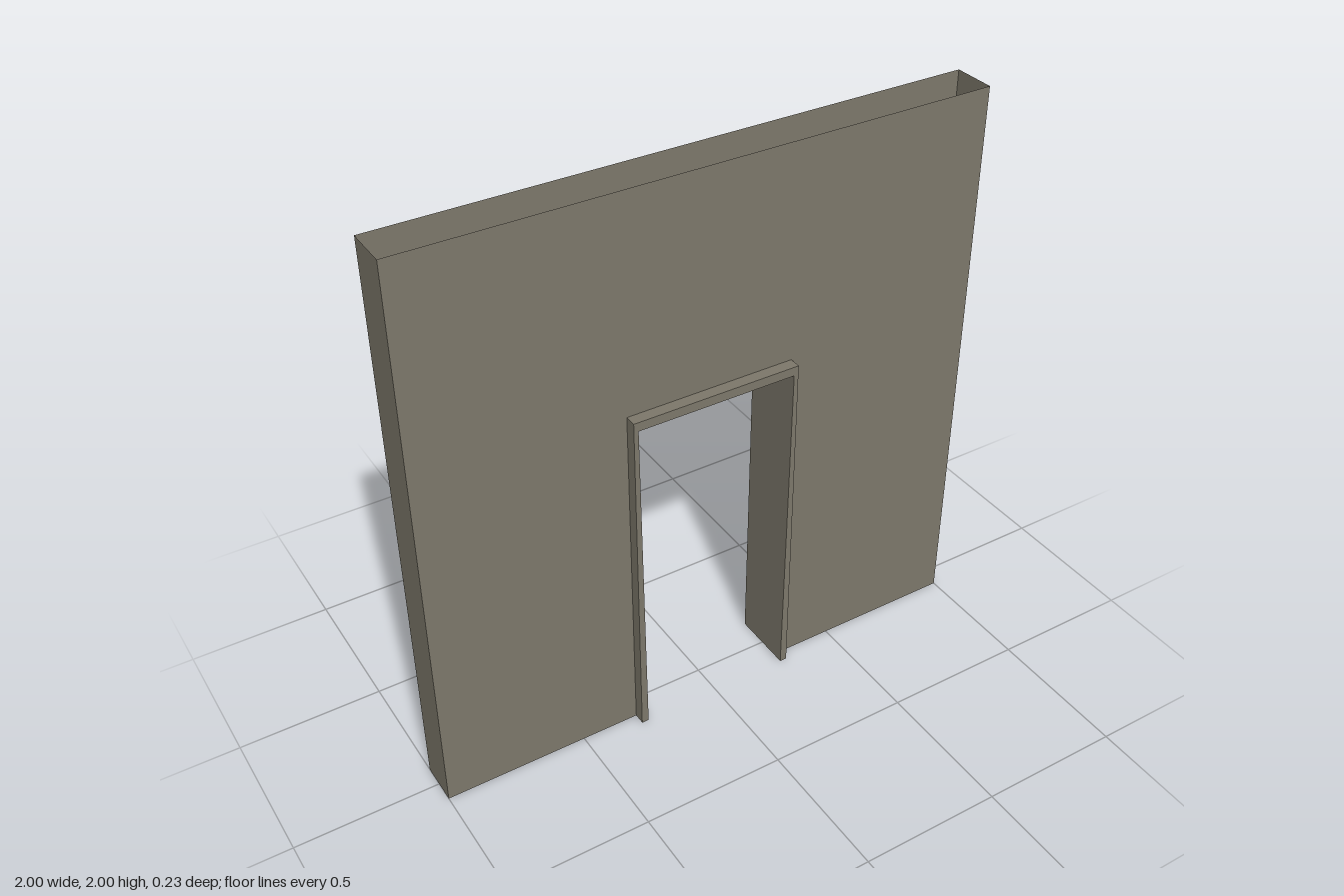
import * as THREE from 'three';

const W = 1, H = 2;              // wall half width and height
const WALL_Z = 0.074;            // wall half depth
const TRIM_Z = 0.115;            // trim half depth
const OUT_X = 0.297, OUT_Y = 1.25;   // trim outer edge
const IN_TOP = 0.281, IN_BOTTOM = 0.272, IN_Y = 1.218; // opening narrows towards the floor

export function createModel() {
  const model = new THREE.Group();
  const stone = new THREE.MeshStandardMaterial({ color: 0x7d786b, side: THREE.DoubleSide });
  stone.name = 'greyStone';

  const add = (name, geometry) => {
    const mesh = new THREE.Mesh(geometry, stone);
    mesh.name = name;
    model.add(mesh);
    return mesh;
  };

  // Band across the depth along a path; it faces the right of the direction of travel
  const strip = (name, path, depth) => {
    const p = [];
    for (let i = 0; i + 1 < path.length; i++) {
      const [x0, y0] = path[i], [x1, y1] = path[i + 1];
      p.push(x0, y0, -depth, x1, y1, -depth, x1, y1, depth);
      p.push(x0, y0, -depth, x1, y1, depth, x0, y0, depth);
    }
    const g = new THREE.BufferGeometry();
    g.setAttribute('position', new THREE.Float32BufferAttribute(p, 3));
    g.computeVertexNormals();
    return add(name, g);
  };

  // Flat arch-shaped faces, one on each side
  const faces = (name, outline, depth) => {
    const shape = new THREE.Shape(outline.map(([x, y]) => new THREE.Vector2(x, y)));
    add(name + 'Front', new THREE.ShapeGeometry(shape)).position.z = depth;
    const back = add(name + 'Back', new THREE.ShapeGeometry(shape));
    back.rotation.y = Math.PI;
    back.position.z = -depth;
  };

  const wallEdge = [[W, 0], [W, H], [-W, H], [-W, 0]];
  const trimEdge = [[OUT_X, 0], [OUT_X, OUT_Y], [-OUT_X, OUT_Y], [-OUT_X, 0]];
  const opening = [[-IN_BOTTOM, 0], [-IN_TOP, IN_Y], [IN_TOP, IN_Y], [IN_BOTTOM, 0]];

  // Hollow wall, open at the top and bottom
  faces('wall', [...wallEdge, ...[...trimEdge].reverse()], WALL_Z);
  strip('wallEndLeft', wallEdge.slice(0, 2), WALL_Z);
  strip('wallEndRight', wallEdge.slice(2), WALL_Z);

  // Raised door trim with outer edges standing out from both wall faces
  faces('trim', [...trimEdge, ...opening], TRIM_Z);
  const rim = (TRIM_Z - WALL_Z) / 2;
  for (const [name, s] of [['trimEdgeFront', 1], ['trimEdgeBack', -1]]) {
    strip(name, trimEdge, rim).position.z = s * (WALL_Z + rim);
  }

  // Lining of the doorway
  strip('doorwayLining', opening, TRIM_Z);

  return model;
}
